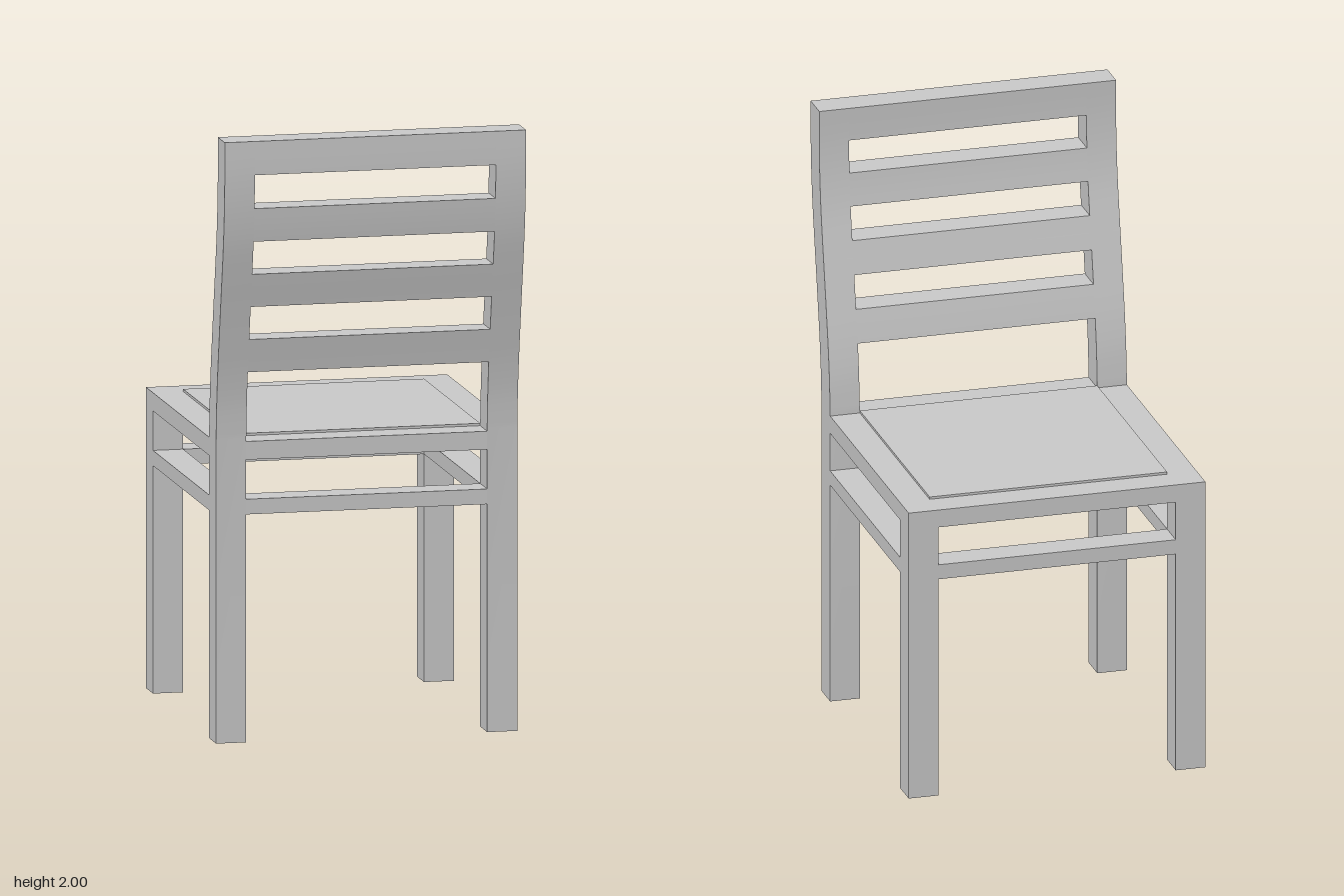
import * as THREE from 'three';
import { toCreasedNormals } from 'three/addons/utils/BufferGeometryUtils.js';

const T = 0.1; // thickness of legs, rails and back
const X = 0.45, FRONT = -0.515, REAR = 0.39; // leg centre lines

export function createModel() {
  const group = new THREE.Group();
  group.name = 'ladderBackChair';
  const material = new THREE.MeshStandardMaterial({ color: 0xcccccc });

  const add = (name, geometry) => {
    const mesh = new THREE.Mesh(geometry, material);
    mesh.name = name;
    group.add(mesh);
    return mesh;
  };
  // Box given by its width and depth centred on (x, z), between two heights
  const box = (name, w, d, x, z, y0, y1) =>
    add(name, new THREE.BoxGeometry(w, y1 - y0, d)).position.set(x, (y0 + y1) / 2, z);

  // Inner face of the leaning back, at heights 1 + k/9
  const lean = [0.34, 0.348, 0.363, 0.383, 0.404, 0.426, 0.446, 0.459, 0.465, 0.465];
  const spline = new THREE.SplineCurve(lean.map((z, k) => new THREE.Vector2(z, 1 + k / 9)));
  const STEPS = 4;
  const curve = spline.getPoints(STEPS * (lean.length - 1));

  // Side profile of constant thickness, extruded across x
  const backPart = (name, inner, width, x) => {
    const outer = inner.map(p => new THREE.Vector2(p.x + T, p.y)).reverse();
    const geometry = new THREE.ExtrudeGeometry(new THREE.Shape([...inner, ...outer]),
      { depth: width, bevelEnabled: false });
    geometry.translate(0, 0, -width / 2).rotateY(-Math.PI / 2);
    add(name, toCreasedNormals(geometry, 0.5)).position.x = x;
  };

  // Legs: straight at the front, running up into curved posts at the rear
  for (const [side, s] of [['left', 1], ['right', -1]]) {
    box(side + 'FrontLeg', T, T, s * X, FRONT, 0, 0.99);
    backPart(side + 'RearPost', [new THREE.Vector2(0.34, 0), ...curve], T, s * X);
  }

  // Back slats, one in every second ninth of the back
  [2, 4, 6, 8].forEach((k, i) =>
    backPart('backSlat' + (i + 1), curve.slice(k * STEPS, (k + 1) * STEPS + 1), 0.8, 0));

  // Seat rails and lower stretchers on all four sides
  const midZ = (FRONT + REAR) / 2, sideLength = REAR - FRONT - T;
  for (const [name, y0, y1] of [['SeatRail', 0.93, 0.99], ['Stretcher', 0.75, 0.8]]) {
    box('front' + name, 0.8, T, 0, FRONT, y0, y1);
    box('rear' + name, 0.8, T, 0, REAR, y0, y1);
    box('left' + name, T, sideLength, X, midZ, y0, y1);
    box('right' + name, T, sideLength, -X, midZ, y0, y1);
  }

  // Seat panel, slightly proud of the rails
  box('seatPanel', 0.8, sideLength, 0, midZ, 0.93, 0.998);

  return group;
}
